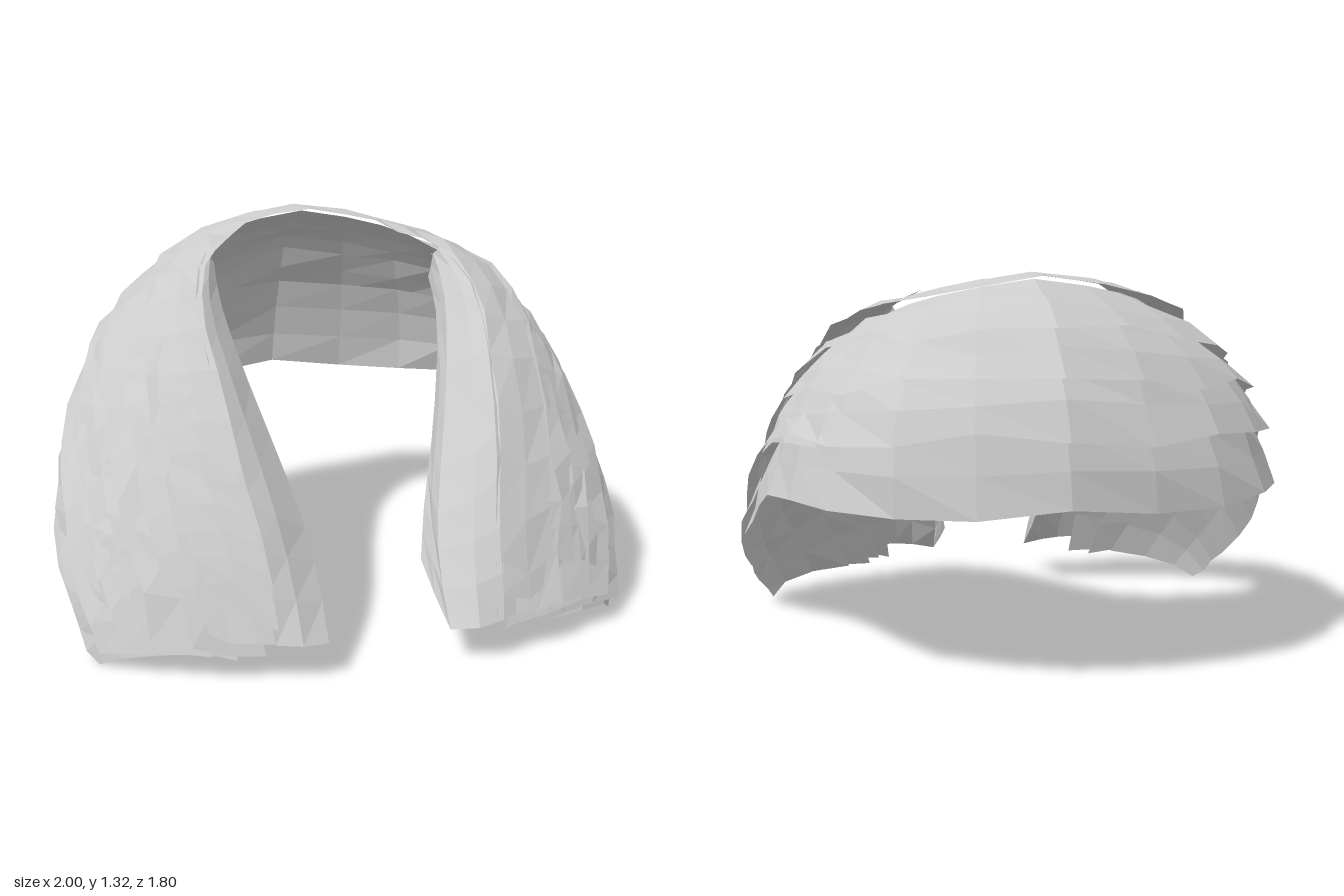
import * as THREE from 'three';

const curve = (pts) => new THREE.CatmullRomCurve3(pts.map((p) => new THREE.Vector3(...p)));

// Guide curves for one side, from the middle of the back to the front tip
const crown = curve([[0, 1.325, -0.385], [0.22, 1.3, -0.34], [0.34, 1.25, -0.22], [0.45, 1.19, 0],
  [0.49, 1.07, 0.2], [0.47, 0.89, 0.4], [0.43, 0.645, 0.6], [0.38, 0.39, 0.76], [0.35, 0.14, 0.88]]);
const hem = curve([[0, 0.61, -0.87], [0.44, 0.59, -0.77], [0.74, 0.6, -0.55], [0.87, 0.58, -0.2],
  [0.93, 0.47, 0.03], [0.965, 0.33, 0.22], [0.95, 0.17, 0.4], [0.91, 0.07, 0.53], [0.87, 0.01, 0.59]]);
// Inner side of each front lobe: its front fold and the deeper edge behind
const INNER_START = 0.33;
const fold = curve([[0.41, 1.19, -0.08], [0.41, 1.08, 0.06], [0.375, 0.92, 0.22], [0.305, 0.69, 0.42],
  [0.235, 0.46, 0.59], [0.205, 0.3, 0.71], [0.2, 0.13, 0.86]]);
const deep = curve([[0.4, 1.1, -0.1], [0.39, 1, 0.04], [0.355, 0.84, 0.18], [0.285, 0.61, 0.36],
  [0.22, 0.42, 0.5], [0.185, 0.27, 0.6]]);

const material = new THREE.MeshStandardMaterial({
  color: 0xcccccc, flatShading: true, side: THREE.DoubleSide });

// Small repeatable noise in -1..1
const noise = (a, b) => {
  const n = Math.sin(a * 127.1 + b * 311.7) * 43758.5453;
  return 2 * (n - Math.floor(n)) - 1;
};

// Point on the rounded body: s runs back to tip, v runs crown to hem
function bodyPoint(s, v, side, lift) {
  const c = crown.getPoint(s), h = hem.getPoint(s);
  const a = v * Math.PI / 2, sin = Math.sin(a), cos = Math.cos(a);
  const out = new THREE.Vector3(h.x - c.x, 0, h.z - c.z).normalize().multiplyScalar(sin);
  out.y = cos;
  out.z += 0.5 * s * s;
  const p = new THREE.Vector3(
    c.x + (h.x - c.x) * sin, c.y + (h.y - c.y) * (1 - cos), c.z + (h.z - c.z) * sin);
  // The sides are flatter than the back, and the tips swell forward
  const flat = 0.23 * Math.sin(Math.PI * Math.min(1, s * 1.1)) - 0.12 * (1 - s) ** 3;
  p.lerp(c.lerp(h, v), flat);
  p.z += 0.07 * Math.sin(Math.PI * v) * s ** 4;
  p.addScaledVector(out.normalize(), lift);
  p.x = p.x * side + 0.045 * (1 - v) * (1 - s);
  return p;
}

// Open sheet through a grid of points
function sheet(name, cols, rows, pointAt) {
  const pos = [], index = [];
  for (let i = 0; i <= cols; i++) {
    for (let j = 0; j <= rows; j++) {
      const p = pointAt(i / cols, j / rows, i, j);
      pos.push(p.x, p.y, p.z);
      if (i < cols && j < rows) {
        const a = i * (rows + 1) + j, b = a + rows + 1;
        index.push(a, b, a + 1, b, b + 1, a + 1);
      }
    }
  }
  const geo = new THREE.BufferGeometry();
  geo.setAttribute('position', new THREE.Float32BufferAttribute(pos, 3));
  geo.setIndex(index);
  geo.computeVertexNormals();
  const mesh = new THREE.Mesh(geo, material);
  mesh.name = name;
  return mesh;
}

export function createModel() {
  const group = new THREE.Group();
  group.name = 'layeredHair';

  // Long layers wrapping from tip to tip, each tucked under the one above;
  // on the front lobes their hidden upper edges gather towards the crown
  const edges = [0, 0.28, 0.48, 0.64, 0.8, 1];
  for (let k = 0; k < 5; k++) {
    group.add(sheet('wrapLayer' + (k + 1), 26, 3, (u, w, i, j) => {
      const t = u * 2 - 1, s = Math.abs(t);
      const top = Math.max(0.06 * k, edges[k] - 0.14 - 0.35 * s * s);
      const ragged = j === 3 ? 0.025 * noise(i, k) : 0;
      const v = Math.min(1, top + (edges[k + 1] - top) * w + ragged);
      const end = 1 - 0.012 * Math.abs(noise(j + 3 * k, t > 0 ? 5 : 9));
      const sink = k > 0 ? (0.006 + 0.05 * s * s) * (1 - w) : 0;
      const flare = (k < 4 ? 0.045 : 0.025) * w * w - sink;
      return bodyPoint(s * end, v, Math.sign(t) || 1, flare + 0.011 * noise(i + 7, k * 4 + j));
    }));
  }

  for (const side of [-1, 1]) {
    const label = side > 0 ? 'left' : 'right';

    // Locks laid over the front lobes: start, upper edge, lower edge, end
    const locks = [[0.24, 0, 0.24, 0.95], [0.62, 0.02, 0.26, 0.985], [0.4, 0.14, 0.38, 0.94],
      [0.36, 0.3, 0.54, 0.96], [0.4, 0.46, 0.68, 0.93], [0.25, 0.58, 0.8, 0.95], [0.45, 0.74, 0.93, 0.95]];
    locks.forEach(([start, v0, v1, stop], k) => {
      group.add(sheet(label + 'Lock' + (k + 1), 9, 2, (u, w, i, j) => {
        const end = stop - 0.04 * Math.abs(noise(k * 3 + j, side * 2));
        const v = Math.max(0, v0 + (v1 - v0) * w + 0.018 * noise(i, k + side));
        const lift = 0.012 + 0.024 * w + 0.01 * noise(i + j, k * 2 + side);
        return bodyPoint(start + (end - start) * u, v, side, lift);
      }));
    });

    // Inner face turning down from the crown, then the wall running back beneath it
    const foldPoint = (u) => {
      const p = fold.getPoint(u);
      p.x = p.x * side + 0.045 * (1 - u) * (1 - INNER_START);
      return p;
    };
    group.add(sheet(label + 'InnerFace', 10, 2, (u, w, i, j) => {
      const p = bodyPoint(INNER_START + (1 - INNER_START) * u, 0.03, side, 0.012);
      p.lerp(foldPoint(u), w);
      p.z += j === 1 ? 0.02 + 0.01 * noise(i, side) : 0;
      return p;
    }));
    group.add(sheet(label + 'InnerWall', 10, 2, (u, w, i, j) => {
      const p = deep.getPoint(u);
      p.x = p.x * side + 0.045 * (1 - u) * (1 - INNER_START);
      p.x += j === 1 ? 0.012 * noise(i, side + 4) : 0;
      return foldPoint(u).lerp(p, w);
    }));
  }

  // Stand on the ground, centred
  const box = new THREE.Box3().setFromObject(group);
  const mid = box.getCenter(new THREE.Vector3());
  group.position.set(-mid.x, -box.min.y, -mid.z);
  return group;
}
